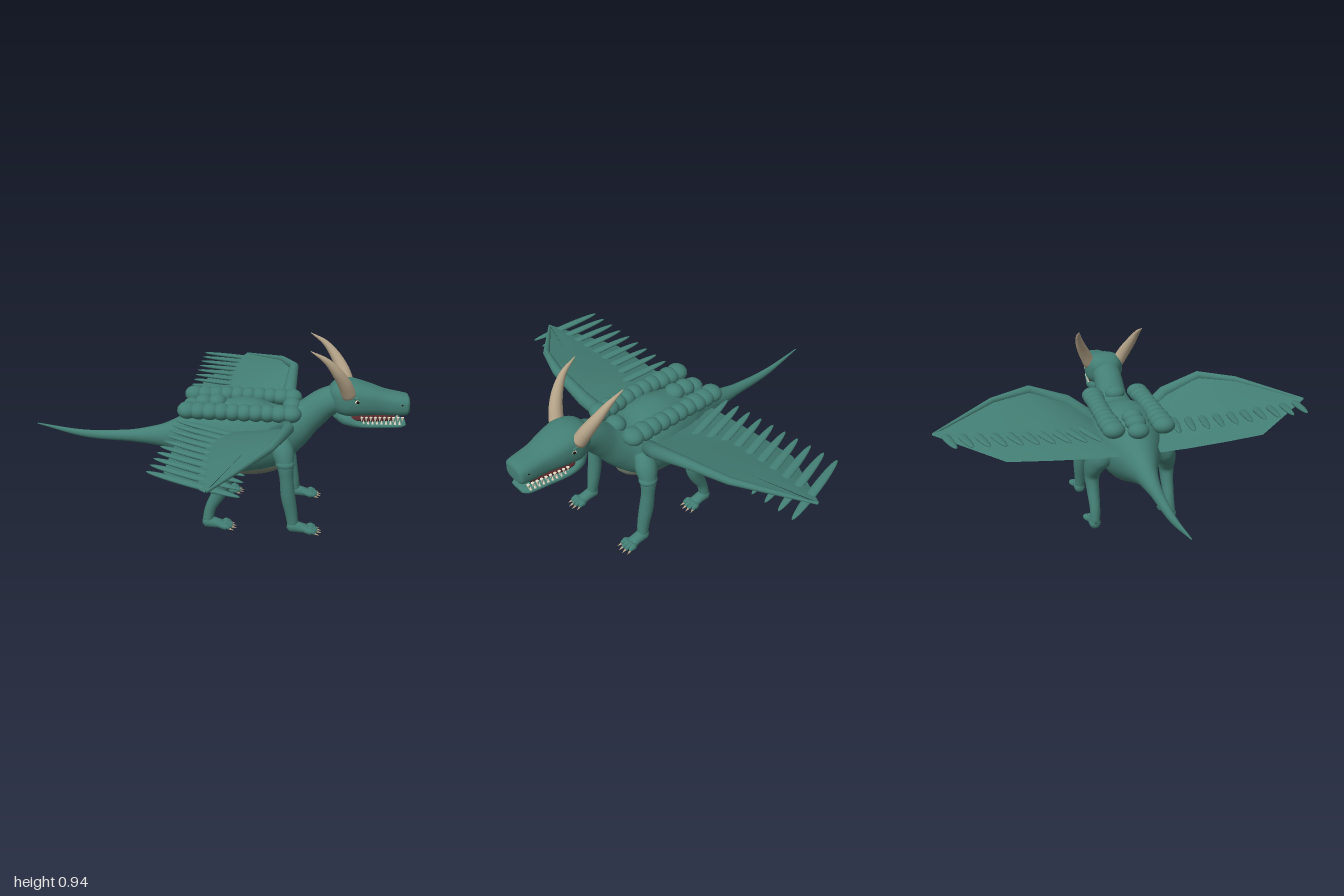
import * as THREE from 'three';

const mat = (name, color) => Object.assign(new THREE.MeshStandardMaterial({ color }), { name });

export function createModel() {
  const root = new THREE.Group();
  root.name = 'wingedDragon';
  const skin = mat('green skin', 0x437e74);
  const membraneSkin = mat('wing membrane green', 0x437e74);
  membraneSkin.side = THREE.DoubleSide;
  const bellySkin = mat('belly grey', 0x737d6c);
  const horn = mat('horn beige', 0xb3a287);
  const ivory = mat('tooth ivory', 0xe6dcc6);
  const dark = mat('eye black', 0x17130f);
  const mouthRed = mat('mouth red', 0x54282a);

  const add = (name, geo, material, parent = root) => {
    const m = new THREE.Mesh(geo, material);
    m.name = name;
    parent.add(m);
    return m;
  };
  const ball = (name, x, y, z, rx, ry, rz, material, parent = root) => {
    const m = add(name, new THREE.SphereGeometry(1, 20, 14), material, parent);
    m.position.set(x, y, z);
    m.scale.set(rx, ry, rz);
    return m;
  };

  // Closed skin over stations [x, y, z, radiusUp, radiusSide]; square < 1 makes boxier sections
  const loft = (stations, { steps = 0, sides = 20, ref = [0, 1, 0], square = 1 } = {}) => {
    let pts = stations.map(s => new THREE.Vector3(s[0], s[1], s[2]));
    let rad = stations.map(s => new THREE.Vector3(s[3], s[4] ?? s[3], 0));
    if (steps) {
      const smooth = list => new THREE.CatmullRomCurve3(list).getPoints(steps);
      pts = smooth(pts);
      rad = smooth(rad);
    }
    const n = pts.length, pos = [], index = [];
    const shape = v => Math.sign(v) * Math.abs(v) ** square;
    pts.forEach((p, i) => {
      const t = pts[Math.min(i + 1, n - 1)].clone().sub(pts[Math.max(i - 1, 0)]).normalize();
      const side = t.clone().cross(new THREE.Vector3(...ref)).normalize();
      const up = side.clone().cross(t);
      for (let j = 0; j < sides; j++) {
        const a = j / sides * Math.PI * 2;
        const q = p.clone().addScaledVector(side, shape(Math.cos(a)) * Math.max(rad[i].y, 0.001))
          .addScaledVector(up, shape(Math.sin(a)) * Math.max(rad[i].x, 0.001));
        pos.push(q.x, q.y, q.z);
      }
    });
    for (let i = 0; i < n - 1; i++) for (let j = 0; j < sides; j++) {
      const k = (j + 1) % sides, a = i * sides + j, c = i * sides + k;
      index.push(a, a + sides, c, c, a + sides, c + sides);
    }
    const start = n * sides, last = (n - 1) * sides;
    pos.push(...pts[0].toArray(), ...pts[n - 1].toArray());
    for (let j = 0; j < sides; j++) {
      const k = (j + 1) % sides;
      index.push(start, j, k, start + 1, last + k, last + j);
    }
    const g = new THREE.BufferGeometry();
    g.setAttribute('position', new THREE.Float32BufferAttribute(pos, 3));
    g.setIndex(index);
    g.computeVertexNormals();
    return g;
  };

  // Tail, torso and neck in one skin
  add('body', loft([
    [-0.955, 0.447, 0, 0.003], [-0.7, 0.402, 0, 0.02, 0.017], [-0.45, 0.402, 0, 0.032, 0.03],
    [-0.28, 0.412, 0, 0.06, 0.055], [-0.15, 0.42, 0, 0.115, 0.1], [0, 0.428, 0, 0.178, 0.16],
    [0.15, 0.435, 0, 0.2, 0.185], [0.28, 0.45, 0, 0.177, 0.175], [0.38, 0.49, 0, 0.125, 0.12],
    [0.47, 0.555, 0, 0.085, 0.085], [0.55, 0.625, 0, 0.075, 0.08], [0.64, 0.665, 0, 0.07, 0.08],
  ], { steps: 60, sides: 28 }), skin);
  ball('belly', 0.15, 0.332, 0, 0.25, 0.106, 0.135, bellySkin);

  // Head: skull and snout, lower jaw, mouth lining
  const head = new THREE.Group();
  head.name = 'head';
  root.add(head);
  add('skullAndSnout', loft([
    [0.57, 0.655, 0, 0.04, 0.05], [0.61, 0.663, 0, 0.08, 0.09], [0.67, 0.665, 0, 0.09, 0.11],
    [0.75, 0.658, 0, 0.078, 0.1], [0.84, 0.646, 0, 0.062, 0.078], [0.92, 0.639, 0, 0.055, 0.072],
    [0.955, 0.637, 0, 0.05, 0.066], [0.966, 0.637, 0, 0.035, 0.05],
  ], { steps: 32, sides: 28, square: 0.75 }), skin, head);
  add('lowerJaw', loft([
    [0.61, 0.59, 0, 0.03, 0.06], [0.66, 0.566, 0, 0.036, 0.092], [0.72, 0.546, 0, 0.023, 0.093],
    [0.84, 0.54, 0, 0.016, 0.076], [0.93, 0.541, 0, 0.014, 0.064], [0.955, 0.543, 0, 0.008, 0.045],
  ], { steps: 24, square: 0.8 }), skin, head);
  add('mouthLining', loft([
    [0.64, 0.575, 0, 0.024, 0.08], [0.74, 0.57, 0, 0.022, 0.076], [0.84, 0.568, 0, 0.02, 0.05], [0.9, 0.568, 0, 0.018, 0.03],
  ]), mouthRed, head);

  const cone = (name, radius, length, from, dir, material, parent) => {
    const g = new THREE.ConeGeometry(radius, length, 8).translate(0, length / 2, 0);
    const m = add(name, g, material, parent);
    m.position.set(...from);
    m.quaternion.setFromUnitVectors(new THREE.Vector3(0, 1, 0), new THREE.Vector3(...dir).normalize());
  };

  for (const s of [1, -1]) {
    const sideName = s > 0 ? 'front' : 'rear';
    // Horn, eye, nostril and teeth
    add('horn', loft([
      [0.665, 0.7, 0.085 * s, 0.036], [0.64, 0.765, 0.117 * s, 0.033], [0.6, 0.83, 0.147 * s, 0.026],
      [0.545, 0.893, 0.167 * s, 0.015], [0.47, 0.94, 0.176 * s, 0.002],
    ], { steps: 20, sides: 14, ref: [0, 0, 1] }), horn, head);
    ball('eye', 0.705, 0.672, 0.1 * s, 0.014, 0.012, 0.011, ivory, head);
    ball('pupil', 0.708, 0.672, 0.107 * s, 0.008, 0.008, 0.006, dark, head);
    ball('brow', 0.695, 0.69, 0.095 * s, 0.028, 0.01, 0.016, skin, head).rotation.z = -0.25;
    ball('nostril', 0.925, 0.652, 0.066 * s, 0.009, 0.006, 0.005, dark, head);
    for (let i = 0; i < 10; i++) {
      const x = 0.735 + i * 0.022, z = (0.082 - i * 0.0025) * s;
      cone('upperTooth', 0.008, i % 4 === 3 ? 0.034 : 0.026, [x, 0.588, z], [0, -1, 0], ivory, head);
      if (i < 9) cone('lowerTooth', 0.007, 0.022, [x + 0.011, 0.55, z * 0.93], [0, 1, 0], ivory, head);
    }

    // Legs with spread toes and claws
    const leg = (name, path, footX, footZ) => {
      const g = new THREE.Group();
      g.name = name;
      root.add(g);
      add('limb', loft(path.map(([x, y, z, r, q]) => [x, y, z * s, r, q]),
        { steps: 30, sides: 16, ref: [0, 0, 1] }), skin, g);
      add('foot', loft([
        [footX - 0.03, 0.035, footZ * s, 0.015], [footX - 0.01, 0.034, footZ * s, 0.031],
        [footX + 0.04, 0.027, footZ * s, 0.025, 0.03], [footX + 0.085, 0.018, footZ * s, 0.015, 0.034],
        [footX + 0.095, 0.015, footZ * s, 0.008, 0.025],
      ], { steps: 14, sides: 14 }), skin, g);
      for (const k of [-1.5, -0.5, 0.5, 1.5]) {
        const reach = 0.128 - Math.abs(k) * 0.012, z = footZ * s + k * 0.022;
        add('toe', loft([
          [footX + 0.06, 0.018, footZ * s + k * 0.012, 0.012], [footX + 0.1, 0.022, z * 0.98 + footZ * s * 0.02, 0.012],
          [footX + reach, 0.014, z, 0.009],
        ], { steps: 8, sides: 10 }), skin, g);
        cone('claw', 0.008, 0.03, [footX + reach - 0.004, 0.015, z], [1, -0.25, k * 0.15], horn, g);
      }
    };
    leg(sideName + 'ForeLeg', [
      [0.33, 0.47, 0.13, 0.05], [0.355, 0.425, 0.175, 0.055], [0.37, 0.37, 0.205, 0.043], [0.38, 0.29, 0.213, 0.034],
      [0.39, 0.2, 0.21, 0.036], [0.41, 0.1, 0.207, 0.031], [0.42, 0.035, 0.21, 0.027],
    ], 0.42, 0.21);
    ball('shoulderJoint', 0.37, 0.372, 0.205 * s, 0.048, 0.032, 0.046, skin);
    leg(sideName + 'HindLeg', [
      [-0.02, 0.46, 0.11, 0.05, 0.06], [0.015, 0.415, 0.165, 0.062, 0.08], [0.045, 0.35, 0.195, 0.052, 0.068],
      [0.065, 0.275, 0.205, 0.04, 0.045], [0.045, 0.2, 0.205, 0.034, 0.038],
      [0, 0.11, 0.205, 0.028], [-0.015, 0.035, 0.21, 0.027],
    ], -0.01, 0.21);

    // Wing: arm bone along the leading edge, membrane, feathers
    const wing = new THREE.Group();
    wing.name = sideName + 'Wing';
    root.add(wing);
    const lead = [[0.31, 0.5, 0.15], [0.37, 0.59, 0.28], [0.385, 0.667, 0.48], [0.315, 0.65, 0.68], [0.085, 0.588, 0.992]];
    const trail = [[-0.165, 0.475, 0.1], [-0.165, 0.48, 0.25], [-0.16, 0.492, 0.46], [-0.15, 0.505, 0.66], [0.08, 0.585, 0.995]];
    const radii = [0.04, 0.036, 0.026, 0.018, 0.006];
    add('wingBone', loft(lead.map(([x, y, z], i) => [x, y, z * s, radii[i]]), { sides: 14 }), skin, wing);
    const pos = [], idx = [], rows = 4;
    lead.forEach((a, i) => {
      for (let k = 0; k <= rows; k++) {
        const t = k / rows, b = trail[i], mix = c => a[c] + (b[c] - a[c]) * t;
        pos.push(mix(0), mix(1) + Math.sin(t * Math.PI) * 0.008, mix(2) * s);
        if (i < 4 && k < rows) {
          const p = i * (rows + 1) + k, q = p + rows + 1;
          idx.push(...(s > 0 ? [p, p + 1, q, q, p + 1, q + 1] : [p, q, p + 1, q, q + 1, p + 1]));
        }
      }
    });
    const sheet = new THREE.BufferGeometry();
    sheet.setAttribute('position', new THREE.Float32BufferAttribute(pos, 3));
    sheet.setIndex(idx);
    sheet.computeVertexNormals();
    add('wingMembrane', sheet, membraneSkin, wing);
    for (let i = 0; i < 10; i++) {
      const t = i / 9;
      const f = ball('feather', 0.02, 0.545 + 0.04 * t, (0.235 + 0.69 * t) * s, 0.203, 0.012, 0.022, skin, wing);
      f.rotation.set(0, -0.19 * s, -0.14, 'YXZ');
    }

    // Side row of back scutes
    for (let i = 0; i < 10; i++) {
      const r = i < 3 || i > 7 ? 0.052 : 0.046;
      ball('sideScute', -0.125 + i * 0.057, 0.605, (0.128 + 0.006 * Math.sin(i / 9 * Math.PI)) * s, r, 0.042, r + 0.006, skin);
    }
  }

  // Middle row of back scutes
  for (const [x, y] of [[-0.12, 0.585], [-0.06, 0.605], [0.01, 0.61], [0.39, 0.605]])
    ball('middleScute', x, y, 0, 0.048, 0.04, 0.055, skin);

  return root;
}
